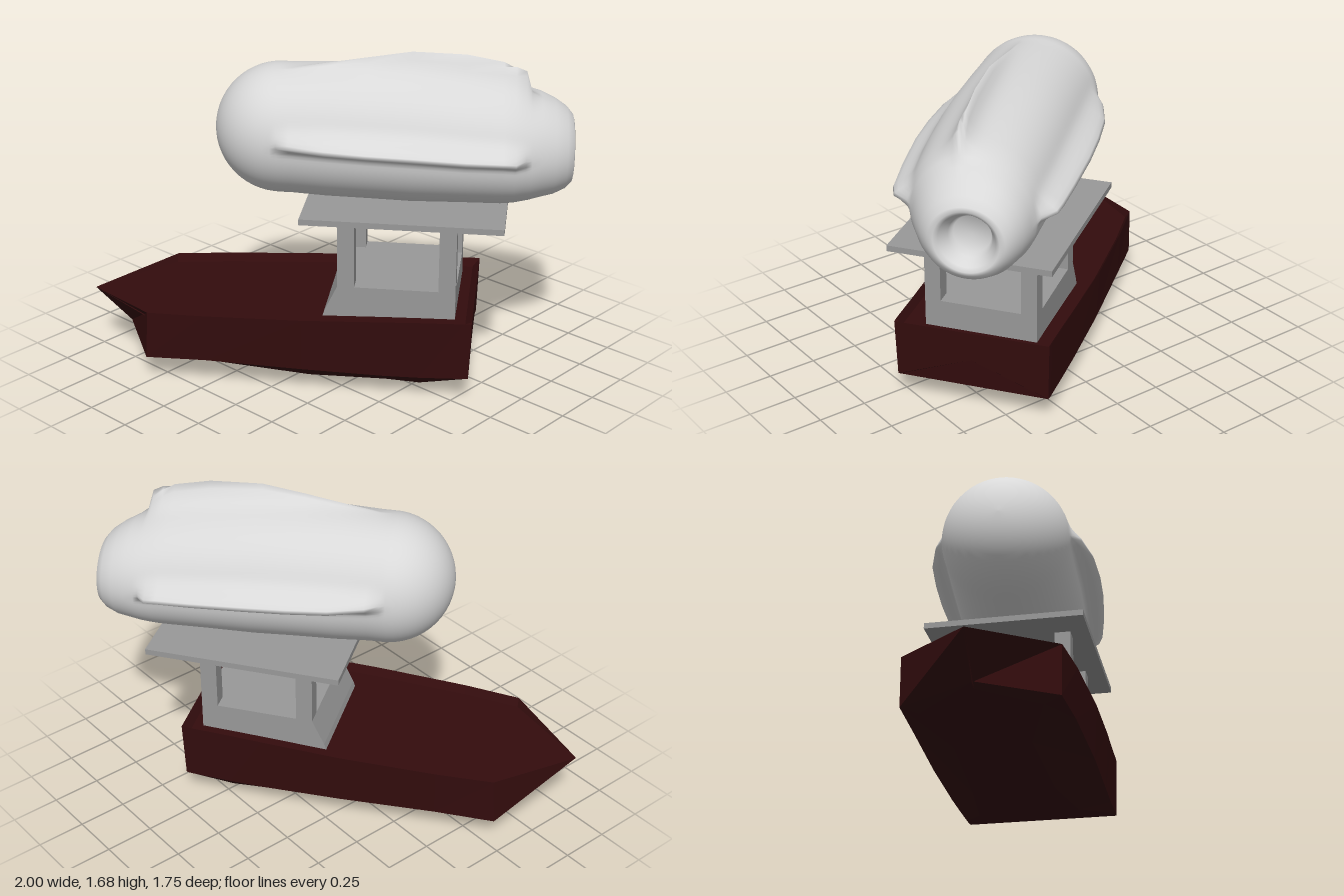
import * as THREE from 'three';

// Skin a list of closed rings (each ring runs keel, +z side, top, -z side)
function loft(rings, smooth) {
  const n = rings[0].length, pos = [], idx = [];
  rings.forEach(r => r.forEach(p => pos.push(...p)));
  for (let i = 0; i < rings.length - 1; i++) {
    for (let j = 0; j < n; j++) {
      const k = (j + 1) % n, a = i * n + j, b = a + n, c = (i + 1) * n + k, d = i * n + k;
      idx.push(a, b, c, a, c, d);
    }
  }
  [0, rings.length - 1].forEach((ri, end) => {
    const centre = [0, 1, 2].map(k => rings[ri].reduce((s, p) => s + p[k], 0) / n);
    const c = pos.length / 3;
    pos.push(...centre);
    for (let j = 0; j < n; j++) {
      const a = ri * n + j, b = ri * n + (j + 1) % n;
      if (end) idx.push(c, b, a); else idx.push(c, a, b);
    }
  });
  let g = new THREE.BufferGeometry();
  g.setAttribute('position', new THREE.Float32BufferAttribute(pos, 3));
  g.setIndex(idx);
  if (!smooth) g = g.toNonIndexed();
  g.computeVertexNormals();
  return g;
}

export function createModel() {
  const model = new THREE.Group();
  const mat = (name, color) => {
    const m = new THREE.MeshStandardMaterial({ color });
    m.name = name;
    return m;
  };
  const red = mat('dark red', 0x330c0d);
  const grey = mat('support grey', 0x999999);
  const pale = mat('pale grey', 0xd8d8d8);

  const group = (name, angle) => {
    const g = new THREE.Group();
    g.name = name;
    g.rotation.y = THREE.MathUtils.degToRad(angle);
    model.add(g);
    return g;
  };
  const add = (parent, name, geo, material, x = 0, y = 0, z = 0) => {
    const m = new THREE.Mesh(geo, material);
    m.name = name;
    m.position.set(x, y, z);
    parent.add(m);
    return m;
  };

  // Boat: length runs along local x, bow at -x
  const boat = group('boat', 35.4);
  // gunwale x, y, half width; chine x, y, half width; flat bottom x, y, half width; deck drop
  const stations = [
    [-1.267, 0.33, 0.004, -1.085, 0.155, 0.004, -1.04, 0.14, 0.002, 0],
    [-0.91, 0.38, 0.365, -0.925, 0.13, 0.362, -0.9, 0.105, 0.28, 0.04],
    [-0.62, 0.39, 0.39, -0.62, 0.14, 0.378, -0.634, 0.035, 0.18, 0.04],
    [-0.13, 0.405, 0.408, -0.13, 0.13, 0.393, -0.12, 0, 0.2, 0.04],
    [0.274, 0.42, 0.405, 0.274, 0.12, 0.392, 0.274, 0.028, 0.25, 0.04],
    [0.453, 0.425, 0.4, 0.453, 0.12, 0.39, 0.453, 0.07, 0.345, 0.04],
    [0.67, 0.43, 0.397, 0.665, 0.128, 0.39, 0.66, 0.122, 0.383, 0.04],
    [0.705, 0.43, 0.395, 0.695, 0.13, 0.388, 0.69, 0.127, 0.383, 0],
  ];
  const hullRings = stations.map(([xg, yg, w, xc, yc, wc, xb, yb, wb, drop]) => {
    const wd = Math.max(w - 0.025, 0.001), yd = yg - drop;
    return [[xb, yb, -wb], [xb, yb, wb], [xc, yc, wc], [xg, yg, w], [xg, yd, wd],
      [xg, yd, -wd], [xg, yg, -w], [xc, yc, -wc]];
  });
  add(boat, 'hull', loft(hullRings, false), red, 0, 0, 0.054);

  // Support stand: solid base with a sloped front, four posts and a platform
  const stand = group('stand', 35);
  const profileShape = new THREE.Shape();
  [[-0.05, 0.34], [0.618, 0.34], [0.618, 0.532], [0.033, 0.532], [-0.03, 0.4]]
    .forEach(([x, y], i) => (i ? profileShape.lineTo(x, y) : profileShape.moveTo(x, y)));
  add(stand, 'base', new THREE.ExtrudeGeometry(profileShape, { depth: 0.572, bevelEnabled: false }),
    grey, 0, 0, -0.257);
  for (const x of [0.075, 0.576]) {
    for (const z of [0.275, -0.217]) {
      add(stand, 'post', new THREE.BoxGeometry(0.084, 0.38, 0.08), grey, x, 0.71, z);
    }
  }
  add(stand, 'platform', new THREE.BoxGeometry(0.99, 0.03, 0.81), grey, 0.352, 0.905, 0.003);

  // Pod: rounded nose, ridged body, side strakes and hollow tail
  const pod = group('pod', 39.3);
  // x, centre y, centre z, half width, height above, depth below, ridge, strake
  const profile = [];
  for (let i = 0; i < 14; i++) {
    const t = ((i + 0.15) / 14) * Math.PI / 2, r = 0.323 * Math.sin(t);
    profile.push([-0.282 - 0.323 * Math.cos(t), 1.263, 0.028, r, r, r, 0, 0]);
  }
  profile.push(
    [-0.282, 1.262, 0.028, 0.323, 0.323, 0.323, 0, 0.01],
    [-0.22, 1.26, 0.03, 0.323, 0.324, 0.322, 0.003, 0.05],
    [-0.05, 1.25, 0.032, 0.328, 0.338, 0.324, 0.03, 0.09],
    [0.15, 1.24, 0.035, 0.334, 0.343, 0.32, 0.07, 0.1],
    [0.36, 1.23, 0.035, 0.336, 0.343, 0.32, 0.115, 0.1],
    [0.62, 1.21, 0.034, 0.33, 0.333, 0.3, 0.13, 0.09],
    [0.8, 1.2, 0.03, 0.318, 0.315, 0.295, 0.135, 0.085],
    [0.86, 1.19, 0.025, 0.31, 0.306, 0.282, 0.135, 0.075],
    [0.91, 1.185, 0.018, 0.3, 0.297, 0.27, 0.125, 0.015],
    [0.94, 1.18, 0.014, 0.293, 0.287, 0.26, 0.025, 0],
    [0.99, 1.18, 0.006, 0.275, 0.272, 0.25, 0, 0],
    [1.06, 1.175, -0.004, 0.247, 0.24, 0.233, 0, 0],
    [1.118, 1.17, -0.01, 0.212, 0.203, 0.203, 0, 0],
    [1.15, 1.165, -0.014, 0.178, 0.168, 0.168, 0, 0],
    [1.155, 1.165, -0.015, 0.152, 0.148, 0.148, 0, 0],
    [1.14, 1.165, -0.015, 0.132, 0.13, 0.13, 0, 0],
    [1.085, 1.163, -0.015, 0.103, 0.103, 0.103, 0, 0],
    [1.05, 1.16, -0.015, 0.088, 0.088, 0.088, 0, 0],
  );
  const N = 120;
  const podRings = profile.map(([x, cy, cz, w, up, down, ridge, strake]) => {
    const ring = [];
    for (let j = 0; j < N; j++) {
      const a = -Math.PI / 2 + (j / N) * Math.PI * 2;
      const c = Math.cos(a), s = Math.sin(a);
      let z = cz + c * w, y = cy + s * (s > 0 ? up : down);
      // sharp ridge along the top, a little off centre
      if (s > 0) y += ridge * Math.exp(-Math.abs(z - 0.085) / 0.045) * s;
      // strakes: soft on the upper side, sharp underneath
      const side = Math.asin(s) - 0.06;
      z += Math.sign(c) * strake * Math.exp(-((side / (side > 0 ? 0.17 : 0.08)) ** 2));
      ring.push([x, y, z]);
    }
    return ring;
  });
  add(pod, 'body', loft(podRings, true), pale);

  return model;
}
